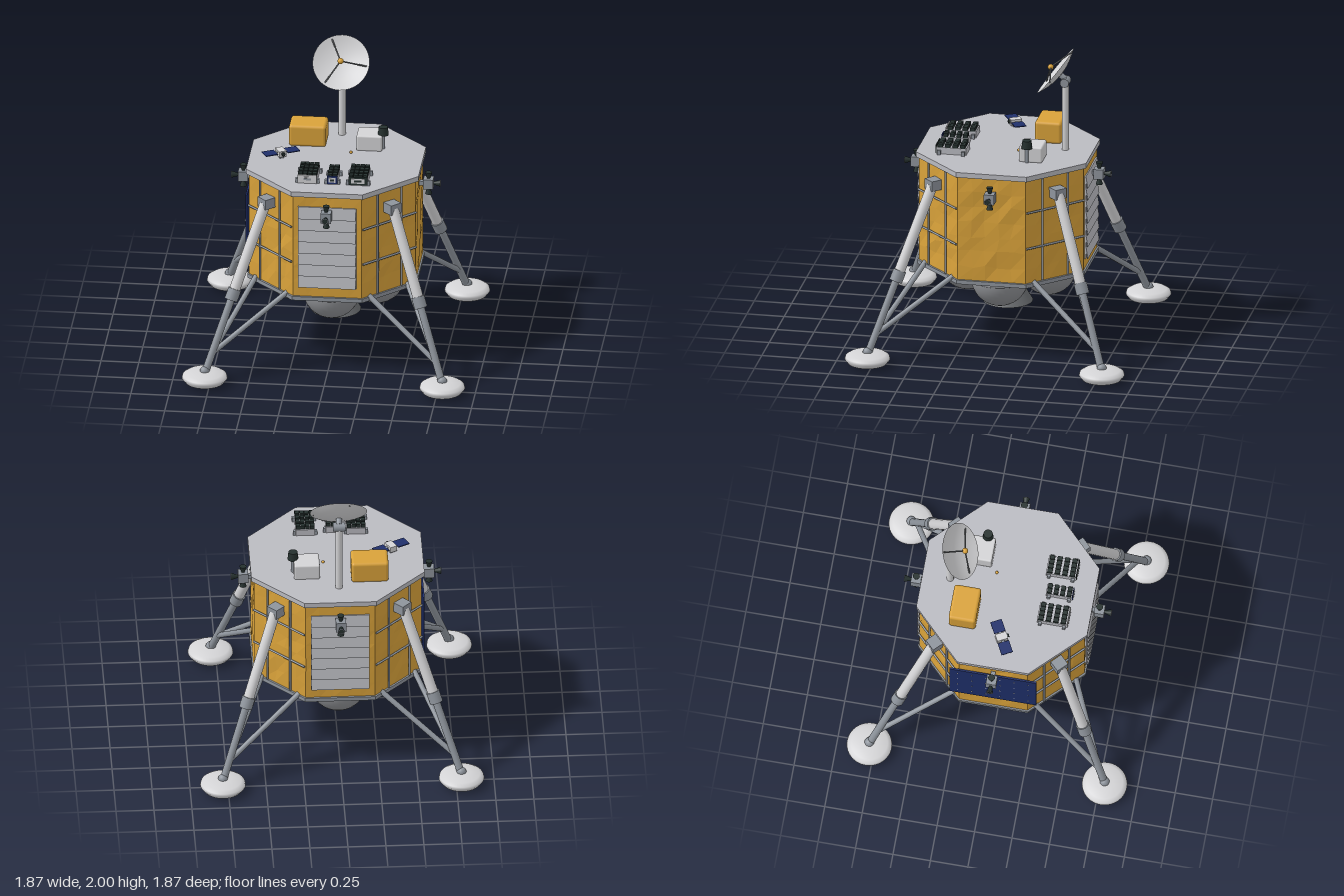
import * as THREE from 'three';
import { RoundedBoxGeometry } from 'three/addons/geometries/RoundedBoxGeometry.js';

const mat = (name, color) => Object.assign(new THREE.MeshStandardMaterial({ color }), { name });

export function createModel() {
  const root = new THREE.Group();
  root.name = 'lander';
  const gold = mat('gold foil', 0xd9a23a);
  const deckGrey = mat('deck grey', 0xbabbc1);
  const white = mat('pale grey', 0xd4d4d6);
  const steel = mat('steel', 0x8e949c);
  const tankGrey = mat('tank grey', 0x8f9195);
  const nozzleGrey = mat('nozzle grey', 0x6a6d70);
  const dark = mat('near black', 0x25302e);
  const navy = mat('solar navy', 0x1f2f6b);
  white.side = nozzleGrey.side = THREE.DoubleSide;

  const V = (x, y, z) => new THREE.Vector3(x, y, z);
  const add = (name, geo, m, x = 0, y = 0, z = 0, parent = root) => {
    const mesh = new THREE.Mesh(geo, m);
    mesh.name = name;
    mesh.position.set(x, y, z);
    parent.add(mesh);
    return mesh;
  };
  const group = (name, parent = root) => {
    const g = new THREE.Group();
    g.name = name;
    parent.add(g);
    return g;
  };
  const box = (name, w, h, d, m, x, y, z, parent) => add(name, new THREE.BoxGeometry(w, h, d), m, x, y, z, parent);
  const flat = (geo) => {
    const g = geo.toNonIndexed();
    g.computeVertexNormals();
    return g;
  };
  // Round bar running from a to b
  const bar = (name, a, b, r, m, parent, r2 = r) => {
    const d = b.clone().sub(a);
    const mesh = add(name, new THREE.CylinderGeometry(r2, r, d.length(), 16), m, 0, 0, 0, parent);
    mesh.position.copy(a).addScaledVector(d, 0.5);
    mesh.quaternion.setFromUnitVectors(V(0, 1, 0), d.normalize());
    return mesh;
  };
  const octagon = (name, apothem, y0, y1, m) => {
    const r = apothem / Math.cos(Math.PI / 8);
    const g = new THREE.CylinderGeometry(r, r, y1 - y0, 8).rotateY(Math.PI / 8);
    return add(name, flat(g), m, 0, (y0 + y1) / 2, 0);
  };
  const lathe = (pts, n = 40) => new THREE.LatheGeometry(pts.map(([x, y]) => new THREE.Vector2(x, y)), n);

  // Hull
  octagon('hullCore', 0.54, 0.55, 1.275, gold);
  octagon('topDeck', 0.57, 1.275, 1.31, deckGrey);
  octagon('bottomPlate', 0.56, 0.525, 0.552, steel);

  // Crinkled foil on all eight sides
  let seed = 7;
  const rand = () => (seed = (seed * 16807) % 2147483647) / 2147483647;
  for (let i = 0; i < 8; i++) {
    const side = group('hullSide');
    side.rotation.y = (i * Math.PI) / 4;
    const g = new THREE.PlaneGeometry(0.456, 0.715, 5, 7);
    const p = g.attributes.position;
    for (let k = 0; k < p.count; k++) {
      const inner = Math.abs(p.getX(k)) < 0.22 && Math.abs(p.getY(k)) < 0.35;
      if (inner) p.setXYZ(k, p.getX(k) + (rand() - 0.5) * 0.03, p.getY(k) + (rand() - 0.5) * 0.03, (rand() - 0.5) * 0.014);
    }
    add('foil', flat(g), gold, 0, 0.912, 0.55, side);
    if (i % 2) {
      // Retaining bars on the diagonal sides
      for (const y of [0.8, 1.05]) bar('foilBar', V(-0.225, y, 0.56), V(0.225, y, 0.56), 0.007, steel, side);
      for (const x of [-0.1, 0.1]) bar('foilBar', V(x, 0.56, 0.56), V(x, 1.27, 0.56), 0.007, steel, side);
    } else if (i % 4 === 0) {
      // Radiator louvres, front and back
      box('radiatorBacking', 0.385, 0.575, 0.01, deckGrey, 0, 0.912, 0.555, side);
      for (let k = 0; k < 7; k++)
        box('radiatorSlat', 0.38, 0.084, 0.006, deckGrey, 0, 0.666 + k * 0.082, 0.564, side).rotation.x = -0.16;
    }
  }

  // Side solar panel with contact dots
  const panel = group('sideSolarPanel');
  box('solarSheet', 0.012, 0.42, 0.58, navy, -0.562, 0.935, 0, panel);
  for (let r = 0; r < 4; r++)
    for (let c = 0; c < 6; c++)
      box('contactDot', 0.002, 0.008, 0.008, white, -0.569, 0.785 + r * 0.1, -0.235 + c * 0.094, panel);

  // Propellant tanks and attitude thrusters around the hull
  for (let i = 0; i < 4; i++) {
    const q = group('quadrant');
    q.rotation.y = (i * Math.PI) / 2;
    add('tank', new THREE.SphereGeometry(0.19, 32, 20), tankGrey, 0, 0.485, 0.27, q);
    add('tankBand', new THREE.TorusGeometry(0.189, 0.01, 8, 40).rotateX(Math.PI / 2), tankGrey, 0, 0.485, 0.27, q);
    const t = group('thrusterCluster', q);
    t.position.set(0, 1.16, 0.612);
    box('thrusterBlock', 0.068, 0.068, 0.066, steel, 0, 0, 0, t);
    box('thrusterMount', 0.03, 0.03, 0.07, steel, 0, 0, -0.04, t);
    for (const [y, z] of [[1, 0], [-1, 0], [0, 1]]) {
      const d = V(0, y, z);
      bar('thrusterNozzle', d.clone().multiplyScalar(0.03), d.clone().multiplyScalar(0.077), 0.009, dark, t, 0.023);
    }
    add('nozzleRing', new THREE.TorusGeometry(0.019, 0.003, 6, 20), steel, 0, 0, 0.078, t);
  }

  // Main engine
  add('engineBell', lathe([[0.165, 0.23], [0.135, 0.28], [0.105, 0.33], [0.08, 0.38], [0.06, 0.43], [0.06, 0.53]]), nozzleGrey);
  const liner = lathe([[0.05, 0.42], [0.074, 0.38], [0.099, 0.33], [0.129, 0.28], [0.16, 0.232]]);
  add('engineLiner', liner, dark);
  add('undersideSensor', new THREE.CylinderGeometry(0.05, 0.05, 0.06, 20), dark, 0.23, 0.495, 0.31);

  // Landing legs
  const padProfile = [[0, 0], [0.09, 0.003], [0.13, 0.018], [0.15, 0.045], [0.145, 0.062], [0.12, 0.078], [0.06, 0.088], [0, 0.09]];
  for (let i = 0; i < 4; i++) {
    const leg = group('landingLeg');
    leg.rotation.y = (i * Math.PI) / 2;
    const at = (y) => {
      const h = 0.42 + ((1.16 - y) * 0.365) / 1.09;
      return V(h, y, h);
    };
    box('hipBracket', 0.085, 0.07, 0.085, steel, 0.415, 1.16, 0.415, leg).rotation.y = Math.PI / 4;
    bar('upperStrut', at(0.575), at(1.15), 0.036, white, leg);
    bar('kneeCollar', at(0.54), at(0.61), 0.044, steel, leg);
    bar('lowerStrut', at(0.07), at(0.56), 0.025, steel, leg);
    bar('sideBrace', V(0.27, 0.555, 0.5), at(0.2), 0.018, steel, leg);
    bar('sideBrace', V(0.5, 0.555, 0.27), at(0.2), 0.018, steel, leg);
    add('ankle', new THREE.SphereGeometry(0.032, 16, 12), steel, 0.785, 0.09, 0.785, leg);
    add('footPad', lathe(padProfile), white, 0.785, 0, 0.785, leg);
  }

  // Dish antenna
  bar('antennaMast', V(0, 1.31, -0.385), V(0, 1.78, -0.385), 0.024, white);
  bar('antennaPivot', V(-0.04, 1.785, -0.385), V(0.04, 1.785, -0.385), 0.03, steel);
  const dish = group('dishAntenna');
  dish.position.set(0, 1.855, -0.318);
  dish.quaternion.setFromUnitVectors(V(0, 1, 0), V(0, 0.613, 0.79).normalize());
  const depth = (r) => -0.045 * (1 - (r / 0.188) ** 2);
  add('dishBowl', lathe([0, 0.04, 0.08, 0.12, 0.155, 0.188].map((r) => [r, depth(r)]), 48), white, 0, 0, 0, dish);
  add('dishFeed', new THREE.SphereGeometry(0.02, 16, 12), gold, 0, 0.04, 0, dish);
  for (const a of [0.1, 2.19, 4.29])
    bar('feedStrut', V(0.17 * Math.cos(a), depth(0.17), 0.17 * Math.sin(a)), V(0, 0.04, 0), 0.005, nozzleGrey, dish);
  bar('dishNeck', V(0, -0.045, 0), V(0, -0.085, 0), 0.02, steel, dish);

  // Deck equipment boxes
  add('foilBox', new RoundedBoxGeometry(0.245, 0.15, 0.18, 3, 0.02), gold, -0.207, 1.381, -0.25);
  add('instrumentBox', new RoundedBoxGeometry(0.17, 0.11, 0.155, 2, 0.012), white, 0.205, 1.361, -0.208);
  add('instrumentHead', new THREE.CylinderGeometry(0.03, 0.036, 0.055, 20), dark, 0.293, 1.437, -0.185);
  bar('instrumentPost', V(0.293, 1.31, -0.185), V(0.293, 1.41, -0.185), 0.012, steel);
  add('deckBeacon', new THREE.SphereGeometry(0.01, 12, 8), gold, 0.09, 1.315, -0.09);

  // Small winged probe on the deck
  const probe = group('smallProbe');
  probe.position.set(-0.362, 1.345, 0.022);
  probe.rotation.y = 0.49;
  box('probeBody', 0.05, 0.04, 0.075, white, 0, 0, 0, probe);
  box('probeFoot', 0.03, 0.03, 0.04, steel, 0, -0.025, 0, probe);
  for (const s of [-1, 1]) {
    box('probeWing', 0.085, 0.006, 0.078, navy, s * 0.078, 0.004, 0, probe);
    box('wingHinge', 0.02, 0.006, 0.02, steel, s * 0.03, 0.004, 0, probe);
  }
  bar('probeLens', V(0, 0.002, 0.035), V(0, 0.002, 0.05), 0.012, dark, probe);

  // Racks of dark cells along the front of the deck
  for (const [x, w, z0, cols, frame] of [[-0.145, 0.125, 0.23, 4, white], [0.02, 0.068, 0.255, 2, navy], [0.19, 0.125, 0.23, 4, dark]]) {
    const rack = group('cellRack');
    const len = 0.43 - z0, step = len / 4;
    box('rackBase', w, 0.045, len, deckGrey, x, 1.335, z0 + len / 2, rack);
    for (let r = 0; r < 4; r++)
      for (let c = 0; c < cols; c++)
        box('cell', w / cols - 0.003, 0.03, step * 0.66, dark, x + ((c + 0.5) / cols - 0.5) * w, 1.367, z0 + (r + 0.5) * step, rack);
    box('rackFrontFrame', w, 0.056, 0.006, frame, x, 1.346, 0.432, rack);
    box('rackFrontPlate', w * 0.7, 0.034, 0.004, white, x, 1.346, 0.436, rack);
    box('rackFrontSlot', w * 0.4, 0.014, 0.003, frame === white ? steel : dark, x, 1.346, 0.438, rack);
    for (const s of [-1, 1])
      for (const z of [z0 + 0.02, 0.41])
        box('rackBracket', 0.018, 0.03, 0.022, steel, x + s * (w / 2 + 0.008), 1.325, z, rack);
  }

  return root;
}
